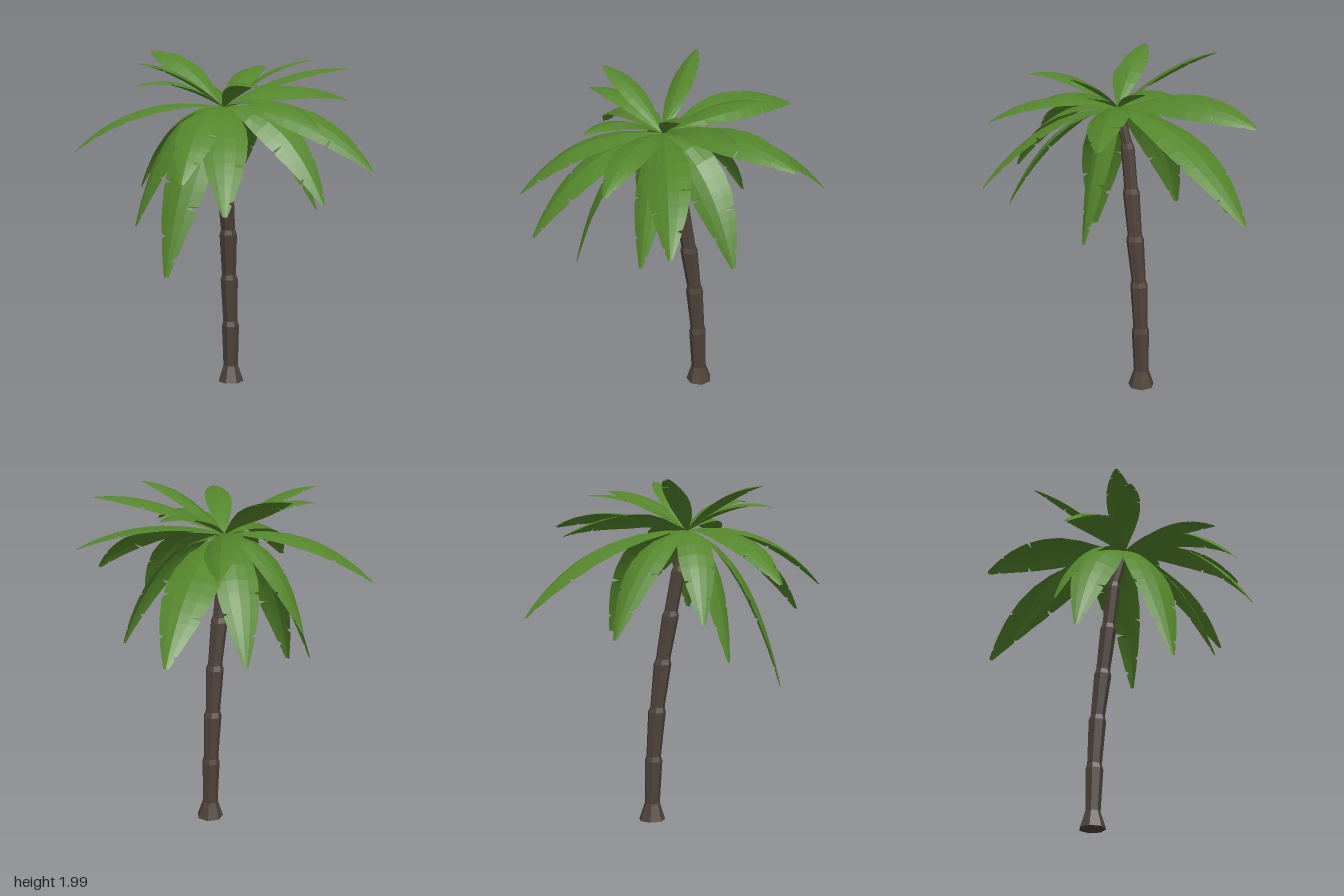
import * as THREE from 'three';

const leafMat = new THREE.MeshStandardMaterial({ color: 0x54852b, flatShading: true, side: THREE.DoubleSide });
const barkMat = new THREE.MeshStandardMaterial({ color: 0x4d4239, flatShading: true });
const nutMat = new THREE.MeshStandardMaterial({ color: 0x2e211c, flatShading: true });

const crown = new THREE.Vector3(-0.01, 1.69, 0.09);

// Fronds: tip x, y, z and roll about the leaf's own length
const fronds = [
  [0.12, 1.69, -0.78, 0.25], [0.38, 1.9, -0.54, 0], [0.37, 1.96, -0.24, 0], [0.75, 1.36, -0.35, 0.4],
  [0.73, 1.62, 0.05, 0], [0.5, 1.84, 0.3, 0], [0.6, 1.19, 0.6, 0], [0.45, 1.36, 0.77, 0],
  [0.12, 0.79, 0.62, -0.1], [-0.12, 1.83, 0.63, 0], [-0.19, 1.95, 0.58, 0], [-0.52, 1.44, 0.77, 0],
  [-0.58, 1.99, 0.17, -0.4], [-0.48, 1.2, 0.33, 0], [-0.38, 0.99, 0.45, -0.5], [-0.75, 1.69, -0.37, 0.4],
  [-0.67, 1.23, -0.64, 0], [-0.25, 1.89, -0.44, 0], [0.62, 1.18, -0.1, 0.5], [-0.63, 1.12, -0.13, 0],
  [0.2, 1.06, -0.46, 0.7],
];

// Leaf outline: position along the frond, share of the full half width
const outline = [[0, 0.08], [0.12, 0.4], [0.26, 0.75], [0.4, 0.95], [0.52, 1], [0.65, 0.93],
  [0.78, 0.72], [0.9, 0.42], [0.97, 0.2], [1, 0.1]];

function widthAt(t) {
  const i = Math.max(1, outline.findIndex(p => p[0] >= t));
  const [a, wa] = outline[i - 1], [b, wb] = outline[i];
  return wa + (wb - wa) * (t - a) / (b - a);
}

function seeded(seed) {
  let s = seed * 7919 + 13;
  return () => (s = (s * 16807) % 2147483647) / 2147483647;
}

// Arched leaf with a shallow ridge and torn edges
function makeFrond([x, y, z, roll], index) {
  const rnd = seeded(index + 1);
  const tip = new THREE.Vector3(x, y, z);
  const reach = 0.5 + 0.15 * (2 - y);
  const control = crown.clone().lerp(tip, reach).setY(1.6 + 0.3 * (y - 0.79));
  const path = new THREE.QuadraticBezierCurve3(crown, control, tip);
  const half = 0.13 * path.getLength();
  const level = new THREE.Vector3(z - crown.z, 0, crown.x - x).normalize();

  // Rows along the leaf: plain ones plus three for each tear
  const rows = outline.map(([t]) => ({ t, cut: [1, 1] }));
  [0.6, 0.71, 0.83, 0.92].forEach((base, k) => {
    const t = base + 0.03 * rnd(), depth = 0.5 + 0.3 * rnd(), s = (k + index) % 2;
    for (const [dt, c] of [[-0.008, 1], [0, depth], [0.012, 1]]) {
      const cut = [1, 1];
      cut[s] = c;
      rows.push({ t: t + dt, cut });
    }
  });
  rows.sort((a, b) => a.t - b.t);

  const pos = [], idx = [], columns = [-1, -0.5, 0, 0.5, 1];
  rows.forEach(({ t, cut }, r) => {
    const p = path.getPoint(t);
    const flat = path.getTangent(t).cross(level).normalize();
    if (flat.y < 0) flat.negate();
    // The roll eases in from the stem
    const angle = roll * Math.min(1, t * 3);
    const side = level.clone().multiplyScalar(Math.cos(angle)).addScaledVector(flat, Math.sin(angle));
    const up = flat.clone().multiplyScalar(Math.cos(angle)).addScaledVector(level, -Math.sin(angle));
    for (const u of columns) {
      const w = u * half * widthAt(t) * (Math.abs(u) === 1 ? cut[u < 0 ? 0 : 1] : 1);
      const v = p.clone().addScaledVector(side, w).addScaledVector(up, -0.25 * Math.abs(w) * (0.5 + 0.5 * Math.abs(u)));
      pos.push(v.x, v.y, v.z);
    }
    if (r === 0) return;
    for (let c = 0; c < 4; c++) {
      const a = (r - 1) * 5 + c, b = a + 5;
      idx.push(a, b, a + 1, a + 1, b, b + 1);
    }
  });
  const geo = new THREE.BufferGeometry();
  geo.setAttribute('position', new THREE.Float32BufferAttribute(pos, 3));
  geo.setIndex(idx);
  geo.computeVertexNormals();
  const mesh = new THREE.Mesh(geo, leafMat);
  mesh.name = 'frond' + (index + 1);
  return mesh;
}

// Leaning trunk of flared segments: y, x, z, radius
function makeTrunk() {
  const rings = [
    [0, -0.145, -0.082, 0.078], [0.1, -0.145, -0.08, 0.045],
    [0.35, -0.14, -0.074, 0.053], [0.38, -0.14, -0.073, 0.044],
    [0.64, -0.13, -0.056, 0.053], [0.67, -0.128, -0.053, 0.043],
    [0.92, -0.107, -0.029, 0.053], [0.95, -0.105, -0.026, 0.043],
    [1.2, -0.085, 0.012, 0.05], [1.23, -0.083, 0.016, 0.04],
    [1.46, -0.065, 0.054, 0.041], [1.49, -0.06, 0.058, 0.032], [1.68, -0.012, 0.088, 0.028],
  ];
  const n = rings.length - 1;
  const geo = new THREE.CylinderGeometry(1, 1, 1, 7, n);
  const p = geo.attributes.position;
  for (let i = 0; i < p.count; i++) {
    const [y, x, z, r] = rings[Math.round((p.getY(i) + 0.5) * n)];
    p.setXYZ(i, x + p.getX(i) * r, y, z - p.getZ(i) * r);
  }
  // The section is mirrored front to back, so flip the faces to match
  geo.index.array.reverse();
  geo.computeVertexNormals();
  const mesh = new THREE.Mesh(geo, barkMat);
  mesh.name = 'trunk';
  return mesh;
}

export function createModel() {
  const model = new THREE.Group();
  model.name = 'palmTree';
  model.add(makeTrunk());

  const leaves = new THREE.Group();
  leaves.name = 'fronds';
  fronds.forEach((frond, i) => leaves.add(makeFrond(frond, i)));
  model.add(leaves);

  const nut = new THREE.Mesh(new THREE.SphereGeometry(0.052, 10, 7), nutMat);
  nut.name = 'coconut';
  nut.position.set(0.08, 1.6, 0.11);
  model.add(nut);
  return model;
}
